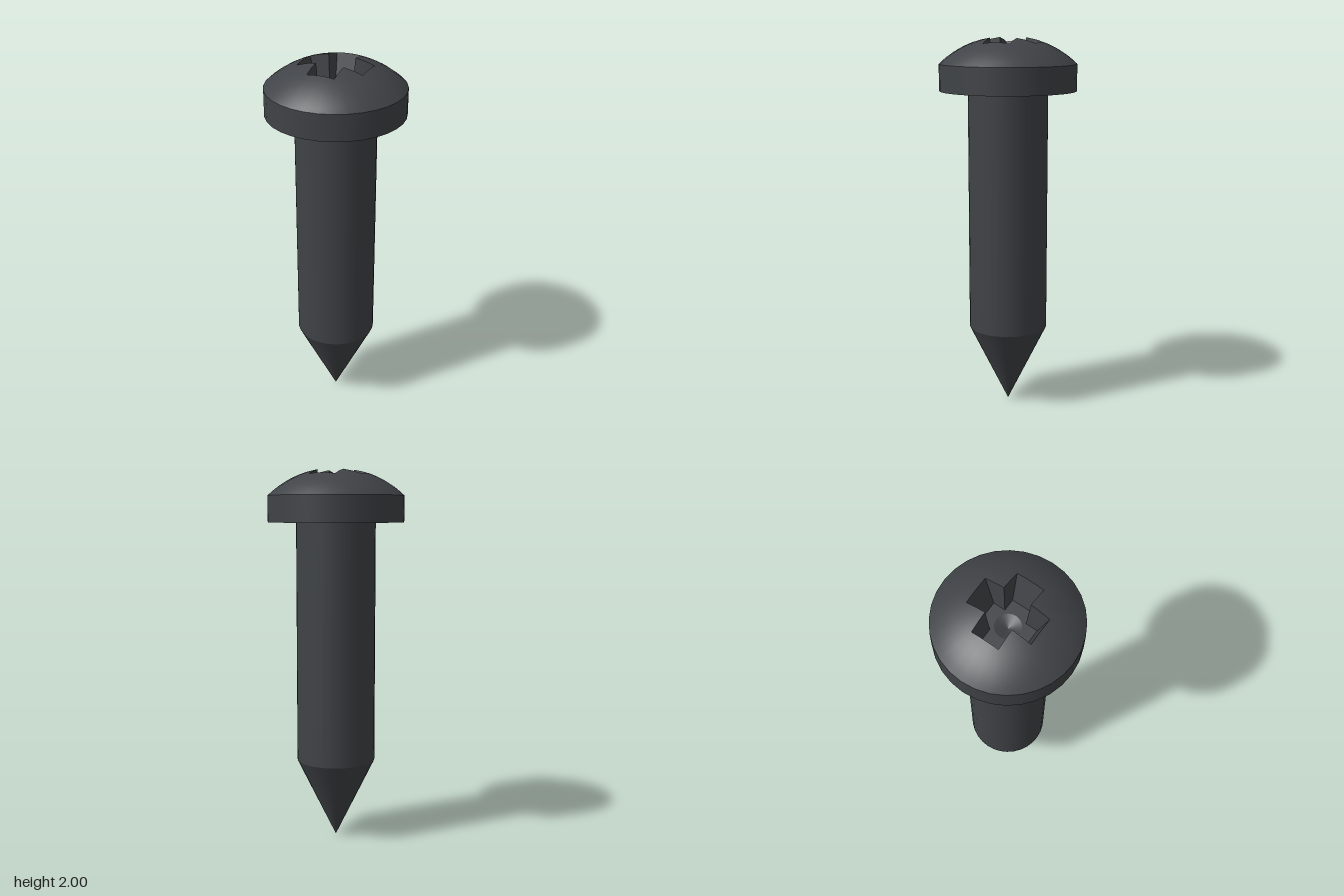
import * as THREE from 'three';

const SIDES = 32;
const HEAD_R = 0.363, RIM_LOW = 1.725, RIM_TOP = 1.865;
const SHAFT_R = 0.212, SHAFT_LOW = 0.432;
const FLOOR_Y = 1.8;

// Height of the domed head, a cap of a sphere
const domeY = (x, z) => 1.484 + Math.sqrt(0.526 ** 2 - x * x - z * z);

// Point k of a circle, counter-clockwise from above
function circlePoint(k, r) {
  const a = (k / SIDES) * Math.PI * 2;
  return [r * Math.cos(a), -r * Math.sin(a)];
}

// Point k of a plus-shaped outline with arm half-length l and half-width w
function crossPoint(k, l, w) {
  const quarter = Math.floor((k + 4) / 8);
  const m = k - quarter * 8;
  const s = Math.sign(m), n = Math.abs(m);
  let x = n <= 2 ? l : n === 3 ? (l + w) / 2 : w;
  let y = n <= 2 ? (w * m) / 2 : s * w;
  for (let i = 0; i < quarter; i++) [x, y] = [-y, x];
  return [x, -y];
}

// Surface through closed rings, ordered from the outside in
function ringSurface(rings) {
  const index = [];
  for (let j = 0; j < rings.length - 1; j++) {
    for (let k = 0; k < SIDES; k++) {
      const n = (k + 1) % SIDES;
      const a = j * SIDES + k, b = j * SIDES + n;
      const c = b + SIDES, d = a + SIDES;
      index.push(a, b, c, a, c, d);
    }
  }
  const geometry = new THREE.BufferGeometry();
  geometry.setAttribute('position', new THREE.Float32BufferAttribute(rings.flat(2), 3));
  geometry.setIndex(index);
  geometry.computeVertexNormals();
  return geometry;
}

const makeRing = (pointAt) => Array.from({ length: SIDES }, (_, k) => pointAt(k));

export function createModel() {
  const group = new THREE.Group();
  const smooth = new THREE.MeshStandardMaterial({ color: 0x404347 });
  const flat = new THREE.MeshStandardMaterial({ color: 0x404347, flatShading: true });
  const add = (name, geometry, material = smooth, y = 0) => {
    const mesh = new THREE.Mesh(geometry, material);
    mesh.name = name;
    mesh.position.y = y;
    group.add(mesh);
    return mesh;
  };

  // Pointed tip and plain shaft
  add('tip', new THREE.CylinderGeometry(SHAFT_R, 0, SHAFT_LOW, SIDES, 1, true), smooth, SHAFT_LOW / 2);
  const shaftH = RIM_LOW - SHAFT_LOW;
  add('shaft', new THREE.CylinderGeometry(SHAFT_R, SHAFT_R, shaftH, SIDES, 1, true), smooth, SHAFT_LOW + shaftH / 2);

  // Straight rim of the head and its underside
  const rimH = RIM_TOP - RIM_LOW;
  add('headRim', new THREE.CylinderGeometry(HEAD_R, HEAD_R, rimH, SIDES, 1, true), smooth, RIM_LOW + rimH / 2);
  add('headUnderside', new THREE.RingGeometry(SHAFT_R, HEAD_R, SIDES), smooth, RIM_LOW).rotation.x = Math.PI / 2;

  // Dome blending from the round rim to the cross-shaped opening
  const opening = (k) => crossPoint(k, 0.177, 0.0733);
  const domeRings = [];
  for (let j = 0; j <= 8; j++) {
    const t = j / 8;
    domeRings.push(makeRing((k) => {
      const o = circlePoint(k, HEAD_R), i = opening(k);
      const x = o[0] + (i[0] - o[0]) * t, z = o[1] + (i[1] - o[1]) * t;
      return [x, domeY(x, z), z];
    }));
  }
  add('headDome', ringSurface(domeRings));

  // Tapered walls and floor of the drive recess
  const floorEdge = makeRing((k) => {
    const [x, z] = crossPoint(k, 0.123, 0.06);
    return [x, FLOOR_Y, z];
  });
  const pitEdge = makeRing((k) => {
    const [x, z] = circlePoint(k, 0.065);
    return [x, FLOOR_Y, z];
  });
  add('recessWalls', ringSurface([domeRings[8], floorEdge]), flat);
  add('recessFloor', ringSurface([floorEdge, pitEdge]), flat);

  // Shallow conical pit in the middle of the floor
  add('recessPit', ringSurface([pitEdge, makeRing(() => [0, FLOOR_Y - 0.025, 0])]));

  return group;
}
